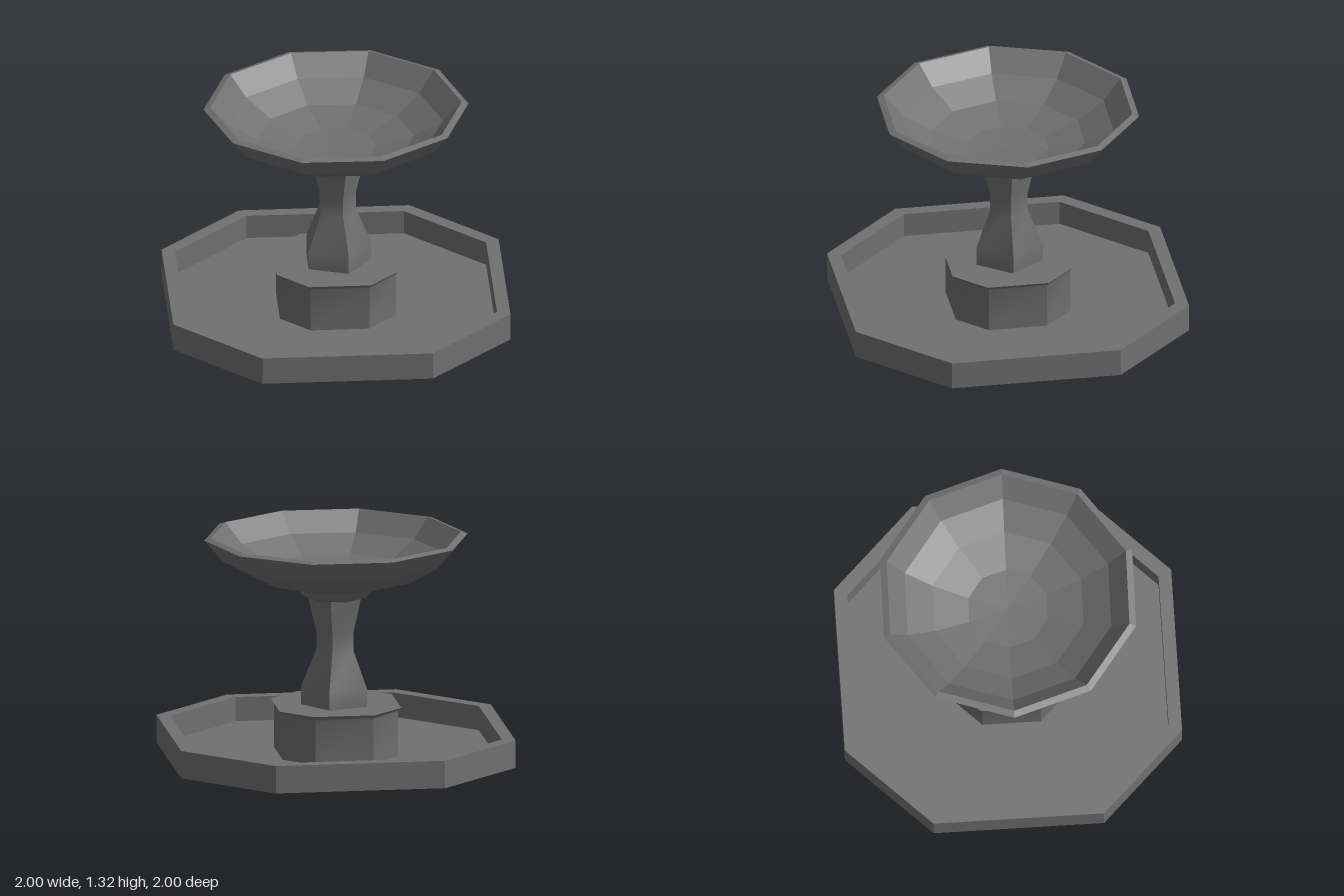
import * as THREE from 'three';
import { toCreasedNormals } from 'three/addons/utils/BufferGeometryUtils.js';

const material = new THREE.MeshStandardMaterial({ color: 0x707070, side: THREE.DoubleSide });

// Lofts a [radius, height] profile round a list of corner angles; a rising profile
// faces outward. Edges bending less than the crease angle are smoothed.
function loft(name, angles, profile, crease = 0) {
  const pos = [];
  const corner = ([r, y], a) => [r * Math.cos(a), y, r * Math.sin(a)];
  for (let j = 0; j < profile.length - 1; j++) {
    const lo = profile[j], hi = profile[j + 1];
    angles.forEach((a, i) => {
      const b = angles[(i + 1) % angles.length];
      const p0 = corner(lo, a), p1 = corner(lo, b);
      const q0 = corner(hi, a), q1 = corner(hi, b);
      if (lo[0] > 0) pos.push(...p0, ...q0, ...p1);
      if (hi[0] > 0) pos.push(...p1, ...q0, ...q1);
    });
  }
  const geometry = new THREE.BufferGeometry();
  geometry.setAttribute('position', new THREE.Float32BufferAttribute(pos, 3));
  geometry.computeVertexNormals();
  const mesh = new THREE.Mesh(crease ? toCreasedNormals(geometry, crease) : geometry, material);
  mesh.name = name;
  return mesh;
}

const regular = (n) => Array.from({ length: n }, (_, i) => (i / n) * Math.PI * 2);

// Eight corners with alternating long and short sides
const octagon = [];
for (let k = 0; k < 4; k++) {
  for (const deg of [-27.8, 25.9]) octagon.push(THREE.MathUtils.degToRad(deg + 90 * k));
}

export function createModel() {
  const group = new THREE.Group();
  group.name = 'fountain';

  // Lower pool: open underneath, thin floor meeting the hollow foot
  group.add(loft('poolBasin', octagon, [
    [1.113, 0], [1.113, 0.165], [1.027, 0.165], [1.027, 0.02], [0.383, 0.02],
  ]));

  // Foot with a softly flared lip
  group.add(loft('foot', octagon, [
    [0.383, 0.02], [0.383, 0.283], [0.388, 0.297], [0.405, 0.312], [0, 0.312],
  ], 0.55));

  // Five-sided waisted column, smooth along its height
  group.add(loft('column', regular(5), [
    [0.208, 0.31], [0.208, 0.42], [0.117, 0.64], [0.117, 0.75], [0.167, 0.96], [0.172, 1.0],
  ], 0.55));

  // Collar under the bowl
  group.add(loft('collar', regular(10), [
    [0.1, 0.957], [0.14, 0.947], [0.2, 0.968], [0.242, 1.018],
  ]));

  // Upper bowl: outside, sloping rim, then inside down to the centre
  group.add(loft('upperBowl', regular(10), [
    [0.242, 1.018], [0.49, 1.083], [0.675, 1.187], [0.78, 1.312],
    [0.74, 1.324], [0.63, 1.205], [0.46, 1.11], [0.243, 1.052], [0, 1.04],
  ]));

  return group;
}
